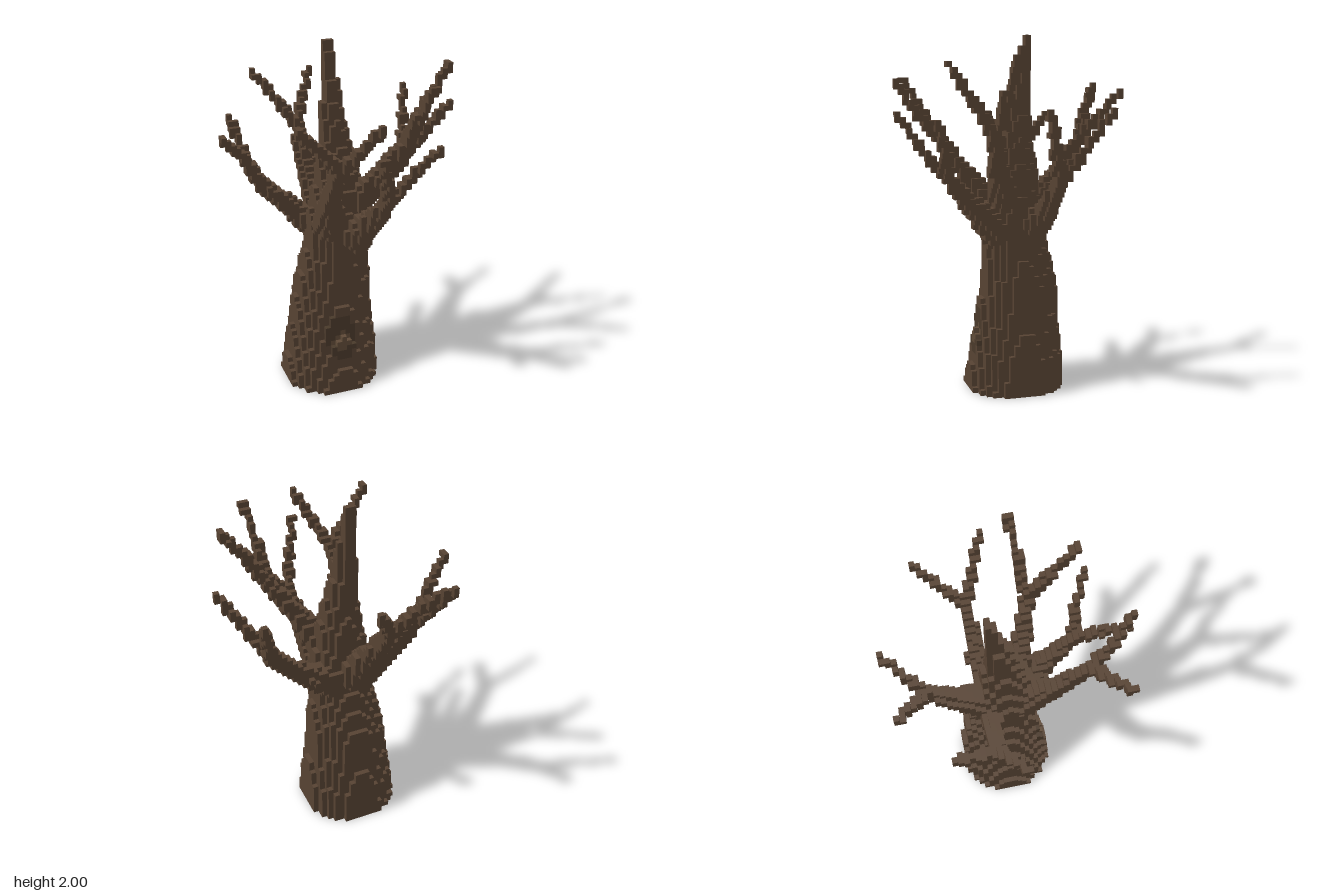
import * as THREE from 'three';

const S = 2 / 68; // voxel edge; x cells are centred on 0, z cells and y layers start at 0
const cellOf = (x, y, z) => [Math.round(x / S), Math.floor(y / S), Math.floor(z / S)];
const centreOf = (i, j, k) => [i * S, (j + 0.5) * S, (k + 0.5) * S];
const key = (i, j, k) => `${i},${j},${k}`;

// Trunk and leader cross-sections: y, centre x, centre z, radius
const TRUNK = [
  [0, -0.073, -0.03, 0.276], [0.2, -0.061, -0.042, 0.256], [0.4, -0.057, -0.046, 0.228],
  [0.6, -0.045, -0.055, 0.209], [0.8, -0.033, -0.036, 0.178], [0.92, -0.029, -0.02, 0.165], [1.08, -0.025, -0.015, 0.152],
];
const LEADER = [
  [1.08, -0.025, -0.015, 0.15], [1.25, -0.02, -0.025, 0.12], [1.4, -0.025, -0.035, 0.09],
  [1.6, -0.036, -0.05, 0.06], [1.78, -0.04, -0.08, 0.042], [2, -0.044, -0.103, 0.022],
];

// Each limb: a stem of [x, y, z, radius] that forks into two twigs
const LIMBS = [
  { name: 'rightBranch',
    stem: [[-0.06, 0.88, -0.08, 0.1], [-0.2, 1.0, -0.13, 0.06], [-0.43, 1.23, -0.145, 0.036]],
    twigs: [[[-0.53, 1.4, -0.09], [-0.647, 1.54, -0.03]], [[-0.485, 1.37, -0.24], [-0.53, 1.55, -0.37]]] },
  { name: 'leftBranch',
    stem: [[0.04, 0.93, -0.09, 0.1], [0.2, 1.04, -0.14, 0.052], [0.42, 1.24, -0.148, 0.036]],
    twigs: [[[0.52, 1.4, -0.09], [0.647, 1.6, -0.02]], [[0.47, 1.38, -0.25], [0.53, 1.6, -0.395]]] },
  { name: 'backBranch',
    stem: [[-0.05, 0.95, -0.1, 0.1], [-0.1, 1.2, -0.28, 0.054], [-0.11, 1.42, -0.445, 0.036]],
    twigs: [[[-0.215, 1.57, -0.51], [-0.325, 1.72, -0.6]], [[-0.05, 1.55, -0.54], [0.025, 1.69, -0.632]]] },
  { name: 'frontRightBranch',
    stem: [[-0.1, 1.02, 0.08, 0.085], [-0.155, 1.25, 0.24, 0.046], [-0.16, 1.48, 0.41, 0.036]],
    twigs: [[[-0.28, 1.6, 0.455], [-0.412, 1.75, 0.535]], [[-0.1, 1.6, 0.53], [-0.02, 1.75, 0.632]]] },
  { name: 'frontBranch',
    stem: [[0.03, 0.92, 0.08, 0.1], [0.08, 1.09, 0.26, 0.05], [0.11, 1.24, 0.39, 0.036]],
    twigs: [[[0.21, 1.36, 0.41], [0.345, 1.53, 0.48]], [[0.06, 1.38, 0.51], [-0.015, 1.57, 0.632]]] },
  { name: 'frontLeftBranch',
    stem: [[0.03, 1.08, 0.04, 0.085], [0.16, 1.27, 0.12, 0.05], [0.3, 1.46, 0.17, 0.036]],
    twigs: [[[0.42, 1.67, 0.145], [0.56, 1.86, 0.115]], [[0.315, 1.65, 0.29], [0.34, 1.84, 0.425]]] },
];

// Direction and four outward-wound corners for each side of a voxel
const SIDES = [0, 1, 2].flatMap((axis) => [-1, 1].map((sign) => {
  const dir = [0, 0, 0];
  dir[axis] = sign;
  const corners = [[-1, -1], [1, -1], [1, 1], [-1, 1]].map(([a, b]) => {
    const p = [0, 0, 0];
    p[axis] = sign;
    p[(axis + 1) % 3] = a * sign;
    p[(axis + 2) % 3] = b;
    return p;
  });
  return { dir, corners };
}));

export function createModel() {
  const group = new THREE.Group();
  const owner = new Set(); // keys of the filled cells
  const parts = new Map(); // part name -> cells

  const claim = (name, i, j, k) => {
    const id = key(i, j, k);
    if (owner.has(id)) return;
    owner.add(id);
    if (!parts.has(name)) parts.set(name, []);
    parts.get(name).push([i, j, k]);
  };

  // Fill layer after layer with discs interpolated between the sections
  const fillDiscs = (sections, nameAt) => {
    for (let j = 0; j < 68; j++) {
      const y = (j + 0.5) * S;
      const n = sections.findIndex((s, m) => m > 0 && y >= sections[m - 1][0] && y < s[0]);
      if (n < 1) continue;
      const a = sections[n - 1], b = sections[n];
      const t = (y - a[0]) / (b[0] - a[0]);
      const [, cx, cz, r] = a.map((v, m) => THREE.MathUtils.lerp(v, b[m], t));
      const [ci, , ck] = cellOf(cx, y, cz);
      for (let i = ci - 11; i <= ci + 11; i++) {
        for (let k = ck - 11; k <= ck + 11; k++) {
          const [x, , z] = centreOf(i, j, k);
          if ((i === ci && k === ck) || Math.hypot(x - cx, z - cz) <= r) claim(nameAt(x, y, z), i, j, k);
        }
      }
    }
  };

  // Sweep a tapering ball along a path
  const fillPath = (name, path) => {
    for (let n = 1; n < path.length; n++) {
      for (let step = 0; step <= 60; step++) {
        const [px, py, pz, r] = path[n - 1].map((v, m) => THREE.MathUtils.lerp(v, path[n][m], step / 60));
        const [ci, cj, ck] = cellOf(px, py, pz);
        claim(name, ci, cj, ck);
        for (let i = ci - 4; i <= ci + 4; i++)
          for (let j = cj - 4; j <= cj + 4; j++)
            for (let k = ck - 4; k <= ck + 4; k++) {
              const [x, y, z] = centreOf(i, j, k);
              if (Math.hypot(x - px, y - py, z - pz) <= r) claim(name, i, j, k);
            }
      }
    }
  };

  // Trunk with a knot in the front bark
  fillDiscs(TRUNK, (x, y, z) => {
    if (z < 0.1) return 'trunk';
    if (Math.hypot(x + 0.07, y - 0.32) < 0.05) return 'knot';
    return Math.hypot((x + 0.07) / 0.085, (y - 0.34) / 0.14) < 1 ? 'knotRing' : 'trunk';
  });
  fillDiscs(LEADER, () => 'leader');

  // Forked branches
  for (const { name, stem, twigs } of LIMBS) {
    fillPath(name, stem);
    const [x, y, z] = stem[stem.length - 1];
    for (const [mid, tip] of twigs) fillPath(name, [[x, y, z, 0.034], [...mid, 0.027], [...tip, 0.019]]);
  }

  // Skin each part with the voxel sides that are open to the air
  const colors = { knot: 0x604b38, knotRing: 0x4a3a2b };
  for (const [name, cells] of parts) {
    const position = [], normal = [], index = [];
    for (const [i, j, k] of cells) {
      const c = centreOf(i, j, k);
      for (const { dir, corners } of SIDES) {
        if (owner.has(key(i + dir[0], j + dir[1], k + dir[2]))) continue;
        const base = position.length / 3;
        for (const p of corners) {
          position.push(...p.map((v, m) => c[m] + (v * S) / 2));
          normal.push(...dir);
        }
        index.push(base, base + 1, base + 2, base, base + 2, base + 3);
      }
    }
    const geometry = new THREE.BufferGeometry();
    geometry.setAttribute('position', new THREE.Float32BufferAttribute(position, 3));
    geometry.setAttribute('normal', new THREE.Float32BufferAttribute(normal, 3));
    geometry.setIndex(index);
    const mesh = new THREE.Mesh(geometry, new THREE.MeshStandardMaterial({ color: colors[name] ?? 0x574333 }));
    mesh.name = name;
    group.add(mesh);
  }
  return group;
}
